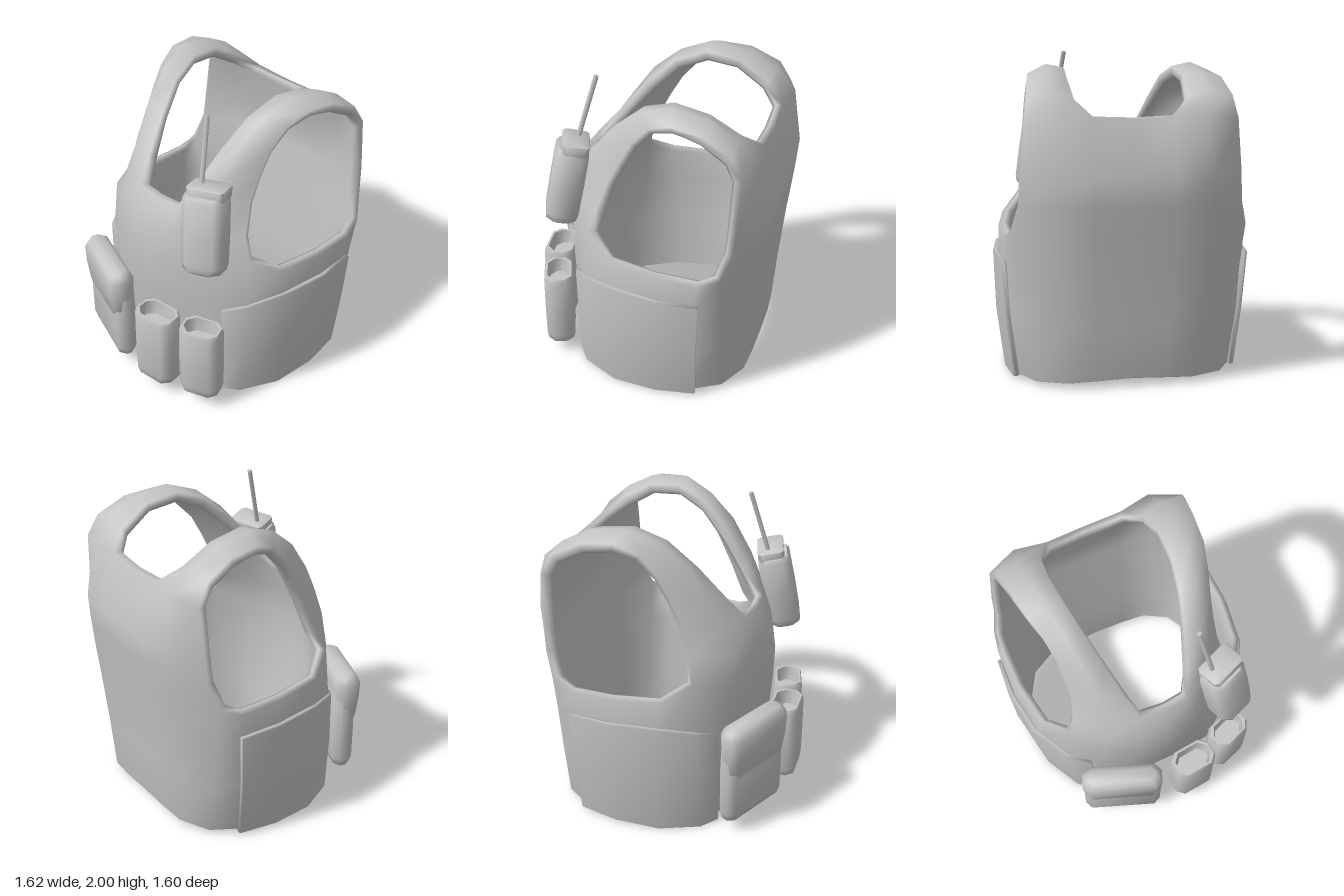
import * as THREE from 'three';
import { toCreasedNormals } from 'three/addons/utils/BufferGeometryUtils.js';

const fabric = new THREE.MeshStandardMaterial({ color: 0xc4c4c4 });
fabric.name = 'grey fabric';

const V = (p) => new THREE.Vector3(...p);

function indexed(points, faces) {
  const g = new THREE.BufferGeometry();
  g.setAttribute('position', new THREE.Float32BufferAttribute(points.flatMap((p) => [p.x, p.y, p.z]), 3));
  g.setIndex(faces.flatMap((f) => f.length === 4 ? [f[0], f[1], f[2], f[0], f[2], f[3]] : f));
  g.computeVertexNormals();
  return g;
}

// Padded shell: thickens a list of quads inward and closes every open edge with a rounded rim
function shell(quads, thickness, bulge) {
  const pts = [], ids = new Map();
  const id = (p) => {
    const key = p.map((n) => n.toFixed(4)).join();
    if (!ids.has(key)) { ids.set(key, pts.length); pts.push(V(p)); }
    return ids.get(key);
  };
  const faces = quads.map((q) => q.map(id));
  const n = pts.length;
  const nor = indexed(pts, faces).getAttribute('normal');
  const normal = (i) => new THREE.Vector3().fromBufferAttribute(nor, i);
  const inner = pts.map((p, i) => p.clone().addScaledVector(normal(i), -thickness));

  // Edges used by one face only
  const edges = new Map();
  faces.forEach((f) => f.forEach((a, k) => edges.set(a + '_' + f[(k + 1) % 4], [a, f[(k + 1) % 4]])));
  const open = [...edges.values()].filter(([a, b]) => !edges.has(b + '_' + a));
  const push = pts.map(() => new THREE.Vector3());
  for (const [a, b] of open) {
    const dir = pts[b].clone().sub(pts[a]).cross(normal(a).add(normal(b))).normalize();
    push[a].add(dir);
    push[b].add(dir);
  }
  const rim = pts.map((p, i) => p.clone().lerp(inner[i], 0.5).addScaledVector(push[i].normalize(), bulge));
  const all = [...pts, ...inner, ...rim];
  all.forEach((p) => { p.y = Math.max(p.y, 0); });
  const out = [...faces, ...faces.map((f) => f.map((i) => i + n).reverse())];
  for (const [a, b] of open) {
    out.push([b, a, a + 2 * n, b + 2 * n], [b + 2 * n, a + 2 * n, a + n, b + n]);
  }
  return indexed(all, out);
}

// Quads between neighbouring rows of points
function grid(rows) {
  const quads = [];
  for (let r = 0; r + 1 < rows.length; r++)
    for (let c = 0; c + 1 < rows[r].length; c++)
      quads.push([rows[r][c], rows[r][c + 1], rows[r + 1][c + 1], rows[r + 1][c]]);
  return quads;
}

const mirrorQuads = (quads) => quads.map((q) => q.map(([x, y, z]) => [-x, y, z]).reverse());

// Eight-sided soft box stacked from [y, inset] levels
function softBox(w, d, cut, levels) {
  const pts = [], faces = [];
  for (const [y, inset] of levels) {
    const a = w / 2 - inset, b = d / 2 - inset;
    const c = Math.min(cut, b * 0.7);
    for (const [x, z] of [[c - a, b], [a - c, b], [a, b - c], [a, c - b], [a - c, -b], [c - a, -b], [-a, c - b], [-a, b - c]])
      pts.push(V([x, y, z]));
  }
  const last = (levels.length - 1) * 8;
  pts.push(V([0, levels[0][0], 0]), V([0, levels[levels.length - 1][0], 0]));
  for (let k = 0; k < 8; k++) {
    const m = (k + 1) % 8;
    for (let j = 0; j < last; j += 8) faces.push([j + k, j + m, j + 8 + m, j + 8 + k]);
    faces.push([last + 8, m, k], [last + 9, last + k, last + m]);
  }
  return toCreasedNormals(indexed(pts, faces), 0.95);
}

function add(parent, name, geometry, position = [0, 0, 0]) {
  const mesh = new THREE.Mesh(geometry, fabric);
  mesh.name = name;
  mesh.position.set(...position);
  parent.add(mesh);
  return mesh;
}

// Left half of the vest: rows run from the front hem, over the shoulder, to the back hem.
// Each row holds neck-side, middle and armhole-side points.
const strapFront = [
  [[.2, .055, .48], [.4, .03, .45], [.56, .01, .365]],
  [[.2, .4, .545], [.4, .4, .485], [.59, .4, .365]],
  [[.2, .75, .575], [.4, .75, .5], [.61, .75, .355]],
  [[.19, .98, .585], [.4, .98, .495], [.6, 1.07, .325]],
  [[.16, 1.18, .57], [.36, 1.18, .485], [.53, 1.2, .29]],
  [[.16, 1.36, .5], [.34, 1.37, .43], [.5, 1.4, .22]],
  [[.21, 1.5, .38], [.36, 1.55, .34], [.5, 1.55, .145]],
  [[.26, 1.69, .22], [.39, 1.75, .2], [.51, 1.7, .065]],
  [[.31, 1.86, .04], [.42, 1.89, .03], [.54, 1.84, -.05]],
];
const strapBack = [
  [[.345, 1.935, -.16], [.46, 1.96, -.17], [.58, 1.905, -.2]],
  [[.36, 1.9, -.38], [.47, 1.92, -.41], [.605, 1.885, -.4]],
  [[.34, 1.78, -.57], [.48, 1.82, -.585], [.63, 1.79, -.585]],
  [[.25, 1.685, -.69], [.46, 1.69, -.725], [.65, 1.66, -.655]],
  [[.25, 1.33, -.8], [.47, 1.33, -.775], [.68, 1.33, -.64]],
  [[.25, 1.15, -.78], [.47, 1.15, -.76], [.69, 1.15, -.625]],
  [[.25, .97, -.76], [.47, .97, -.74], [.735, .985, -.565]],
  [[.24, .75, -.735], [.46, .75, -.715], [.7, .75, -.56]],
  [[.23, .4, -.7], [.43, .4, -.685], [.65, .4, -.56]],
  [[.22, .05, -.675], [.4, .04, -.66], [.585, .03, -.56]],
];
const centreFront = [[.07, .485], [.4, .56], [.75, .61], [.98, .61], [1.18, .59], [1.36, .52]];
const centreBack = [[1.67, -.7], [1.33, -.8], [1.15, -.785], [.97, -.765], [.75, -.74], [.4, -.705], [.06, -.68]];
const side = [
  [[.685, .01, .13], [.72, .02, -.15], [.69, .03, -.38]],
  [[.72, .4, .13], [.765, .4, -.15], [.735, .4, -.4]],
  [[.735, .75, .14], [.775, .75, -.15], [.76, .75, -.4]],
  [[.72, .965, .16], [.77, .945, -.15], [.765, .93, -.43]],
];

function vestGeometry() {
  const strap = [...strapFront, ...strapBack];
  const end = strap.length - 1;
  const half = [
    ...grid(strap),
    ...grid(centreFront.map(([y, z], i) => [[0, y, z], strap[i][0]])),
    ...grid(centreBack.map(([y, z], i) => [[0, y, z], strap[i + 12][0]])),
    ...grid(side.map((s, i) => [strap[i][2], ...s, strap[end - i][2]])),
  ];
  return shell([...half, ...mirrorQuads(half)], 0.07, 0.018);
}

// Wrap-around side panel
const panelRows = [
  [[.47, 0, .455], [.585, 0, .38], [.71, 0, .14], [.745, .01, -.15], [.715, .02, -.41]],
  [[.49, .4, .46], [.62, .4, .375], [.75, .4, .14], [.795, .4, -.15], [.76, .4, -.42]],
  [[.5, .68, .46], [.63, .735, .365], [.765, .79, .13], [.81, .785, -.17], [.785, .77, -.44]],
];

export function createModel() {
  const model = new THREE.Group();
  model.name = 'tacticalVest';
  add(model, 'vestBody', vestGeometry());

  const panel = grid(panelRows);
  add(model, 'leftSidePanel', shell(panel, 0.04, 0.004));
  add(model, 'rightSidePanel', shell(mirrorQuads(panel), 0.04, 0.004));

  // Two open-topped magazine pouches
  const magazine = (w, d) => softBox(w, d, 0.045,
    [[-.265, .035], [-.248, .01], [-.2, .002], [0, 0], [.24, .002], [.265, .01], [.265, .024], [.17, .035]]);
  add(model, 'innerMagazinePouch', magazine(.29, .2), [.15, .355, .69]).rotation.y = .1;
  add(model, 'outerMagazinePouch', magazine(.27, .19), [.455, .355, .6]).rotation.y = .35;

  // Large utility pouch with a flap
  const utility = new THREE.Group();
  utility.name = 'utilityPouch';
  utility.position.set(-.345, 0, .628);
  utility.rotation.y = -.36;
  model.add(utility);
  add(utility, 'pouchBody', softBox(.52, .14, .04, [[.08, .04], [.1, .015], [.15, .002], [.4, 0], [.64, .005], [.72, .03]]));
  add(utility, 'pouchFlap', softBox(.53, .17, .045,
    [[.43, .045], [.45, .02], [.6, .004], [.72, 0], [.765, .018], [.785, .045]]), [-.002, 0, .018]);

  // Radio with cap and aerial on the left strap
  const radio = new THREE.Group();
  radio.name = 'radio';
  radio.position.set(.42, 1.315, .52);
  radio.rotation.set(-.2, .35, .06, 'YXZ');
  model.add(radio);
  add(radio, 'radioBody', softBox(.27, .21, .045, [[-.265, .035], [-.245, .01], [-.2, .002], [0, 0], [.22, .002], [.25, .015]]));
  add(radio, 'radioCap', softBox(.245, .17, .02, [[.23, .004], [.295, 0], [.3, .006]]), [.012, 0, -.01]);

  const from = V([.335, 1.58, .467]), to = V([.275, 1.998, .355]);
  const aerial = add(model, 'aerial', new THREE.CylinderGeometry(.016, .016, from.distanceTo(to), 6), from.clone().lerp(to, .5).toArray());
  aerial.quaternion.setFromUnitVectors(V([0, 1, 0]), to.clone().sub(from).normalize());
  return model;
}
